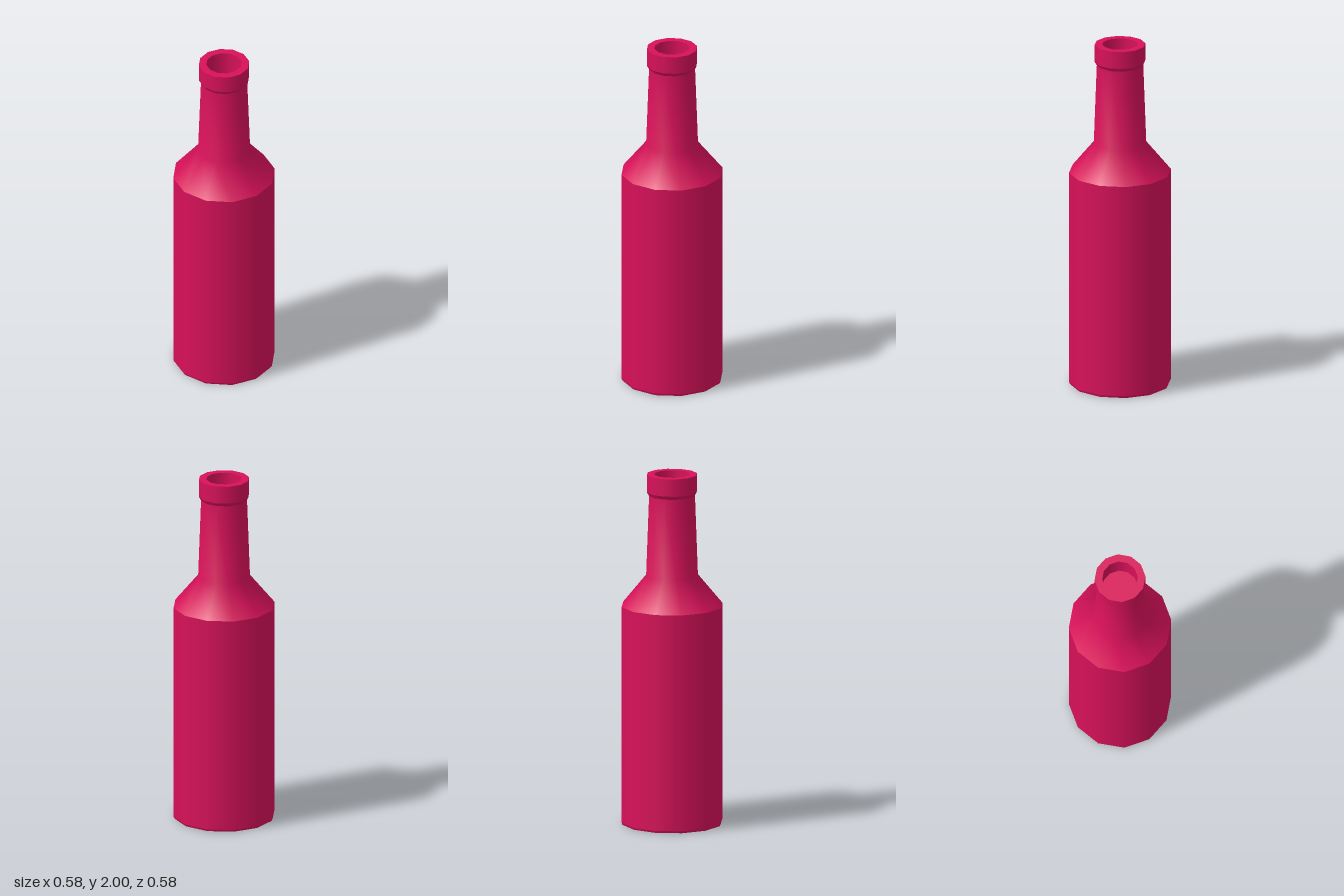
import * as THREE from 'three';

const SIDES = 12;

export function createModel() {
  const bottle = new THREE.Group();
  bottle.name = 'bottle';
  const glass = new THREE.MeshStandardMaterial({ color: 0xd81159 });

  // Each part is a turned profile; edges between parts stay sharp.
  // Profiles run up the outside, over the rim and down the inside.
  const turn = (name, profile) => {
    const points = profile.map(([r, y]) => new THREE.Vector2(r, y));
    const mesh = new THREE.Mesh(new THREE.LatheGeometry(points, SIDES), glass);
    mesh.name = name;
    bottle.add(mesh);
  };

  turn('base', [[0, 0], [0.283, 0]]);
  turn('baseBevel', [[0.283, 0], [0.288, 0.012]]);
  turn('body', [[0.288, 0.012], [0.288, 1.25]]);
  turn('shoulderAndNeck', [[0.288, 1.25], [0.148, 1.42], [0.131, 1.88]]);
  turn('lipUnderside', [[0.131, 1.88], [0.143, 1.9]]);
  turn('lip', [[0.143, 1.9], [0.143, 2]]);
  turn('rim', [[0.143, 2], [0.1, 2]]);
  turn('mouthWall', [[0.1, 2], [0.1, 1.85]]);
  turn('mouthFloor', [[0.1, 1.85], [0, 1.85]]);

  return bottle;
}
